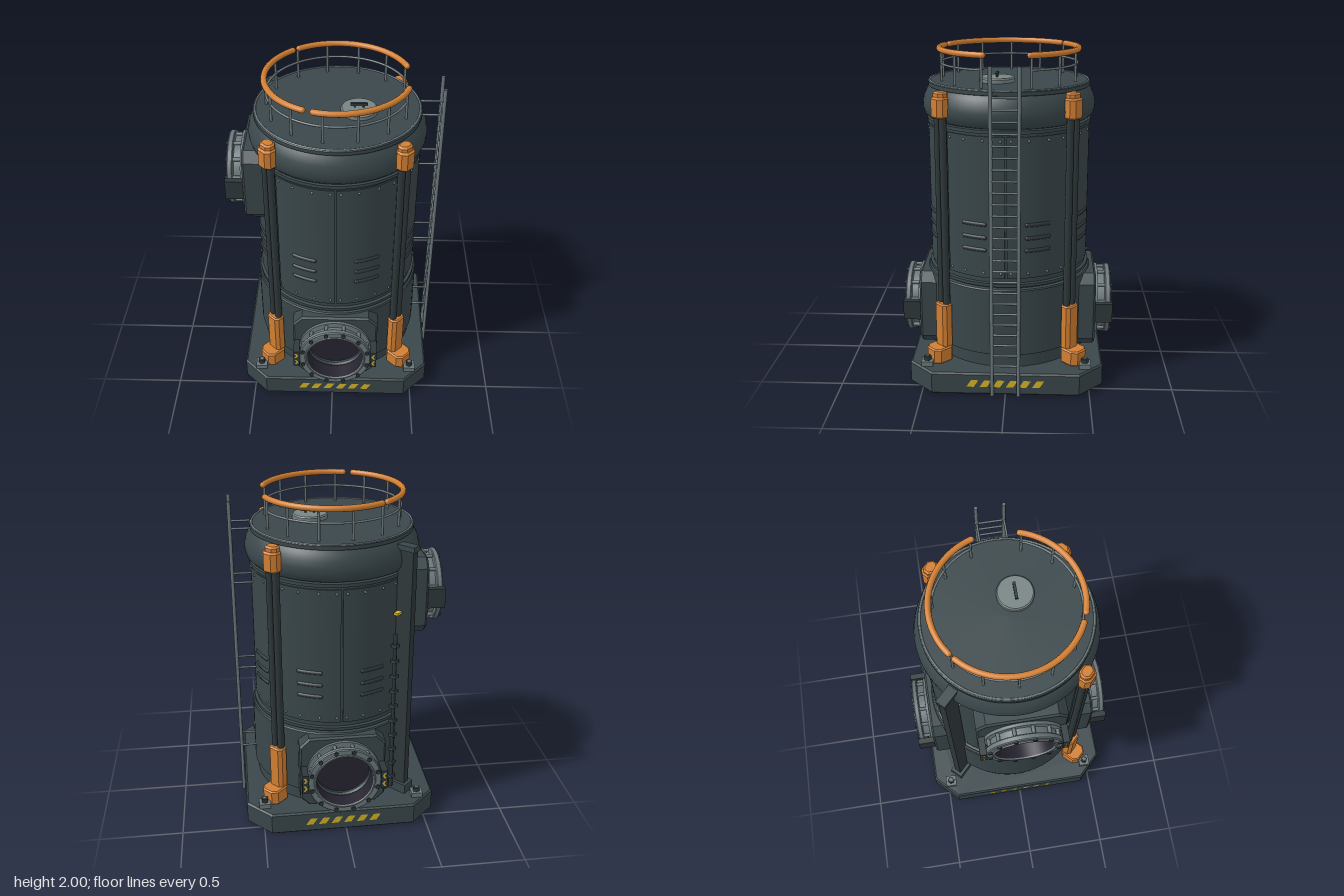
import * as THREE from 'three';
import { toCreasedNormals } from 'three/addons/utils/BufferGeometryUtils.js';

const mat = (name, color) => Object.assign(new THREE.MeshStandardMaterial({ color }), { name });
const rad = THREE.MathUtils.degToRad;
const V = (x, y) => new THREE.Vector2(x, y);

export function createModel() {
  const steel = mat('dark steel', 0x3a474b);
  const dark = mat('charcoal', 0x2f383b);
  const grey = mat('light steel', 0x6c787c);
  const pale = mat('hatch steel', 0x788484);
  const orange = mat('safety orange', 0xd27f32);
  const yellow = mat('hazard yellow', 0xd6b526);
  const bore = mat('dark bore', 0x262330);
  yellow.side = THREE.DoubleSide;

  const model = new THREE.Group();
  model.name = 'tank';
  const root = new THREE.Group();
  root.name = 'tankAssembly';
  root.position.x = 0.018;
  model.add(root);

  const add = (parent, name, geo, material, x = 0, y = 0, z = 0) => {
    const m = new THREE.Mesh(geo, material);
    m.name = name;
    m.position.set(x, y, z);
    parent.add(m);
    return m;
  };
  const group = (name, angle, y = 0) => {
    const g = new THREE.Group();
    g.name = name;
    g.rotation.y = angle;
    g.position.y = y;
    root.add(g);
    return g;
  };
  const box = (w, h, d) => new THREE.BoxGeometry(w, h, d);
  const cyl = (r, h, n = 12) => new THREE.CylinderGeometry(r, r, h, n);
  const lathe = (pts, n = 72) =>
    toCreasedNormals(new THREE.LatheGeometry(pts.map(p => V(...p)), n), 0.5);
  // Horizontal ring segment: angles run from +x towards +z
  const arc = (r, tube, from, to, sides = 8) =>
    new THREE.TorusGeometry(r, tube, sides, Math.max(8, Math.ceil((to - from) / 4)), rad(to - from))
      .rotateZ(rad(from)).rotateX(Math.PI / 2);
  const chamfered = (w, h, c) => new THREE.Shape([
    V(-w + c, -h), V(w - c, -h), V(w, -h + c), V(w, h - c),
    V(w - c, h), V(-w + c, h), V(-w, h - c), V(-w, -h + c)]);
  // Upright block with chamfered corners and bevelled top and bottom edges
  const block = (w, h, d, c, b) => new THREE.ExtrudeGeometry(
    chamfered(w / 2 - b, d / 2 - b, c),
    { depth: h - 2 * b, bevelEnabled: true, bevelThickness: b, bevelSize: b, bevelSegments: 1 })
    .rotateX(-Math.PI / 2).translate(0, b, 0);

  // Base plinth with corner anchors
  add(root, 'basePlinth', block(1.164, 0.14, 1.164, 0.138, 0.01), steel);
  for (const x of [-0.473, 0.473]) for (const z of [-0.473, 0.473]) {
    add(root, 'anchorPad', box(0.07, 0.03, 0.07), grey, x, 0.155, z);
    add(root, 'anchorNut', cyl(0.022, 0.025, 6), dark, x, 0.182, z);
    add(root, 'anchorBolt', cyl(0.012, 0.035, 8), grey, x, 0.182, z);
  }

  // Hazard stripes on all four sides of the plinth
  const stripe = new THREE.ShapeGeometry(new THREE.Shape(
    [V(-0.036, -0.022), V(0.008, -0.022), V(0.036, 0.022), V(-0.008, 0.022)]));
  for (let k = 0; k < 4; k++) {
    const side = group('hazardStripes', k * Math.PI / 2);
    for (let i = 0; i < 6; i++) add(side, 'hazardStripe', stripe, yellow, (i - 2.5) * 0.078, 0.075, 0.585);
  }

  // Tank shell, from skirt to roof
  add(root, 'tankShell', lathe([
    [0.49, 0.14], [0.49, 0.215], [0.508, 0.225], [0.508, 0.635], [0.502, 0.642], [0.48, 0.645],
    [0.48, 0.652], [0.496, 0.655], [0.496, 0.674], [0.478, 0.677], [0.478, 1.56], [0.493, 1.562],
    [0.493, 1.582], [0.472, 1.585], [0.488, 1.592], [0.506, 1.612], [0.516, 1.645], [0.517, 1.675],
    [0.507, 1.715], [0.49, 1.75], [0.474, 1.77], [0.484, 1.773], [0.484, 1.795], [0.478, 1.8],
    [0, 1.8]]), steel);
  add(root, 'roofSeam', arc(0.472, 0.006, 0, 360), grey, 0, 1.8, 0);

  // Eight curved wall panels with rivets and louvres
  const panelShape = new THREE.Shape();
  panelShape.absarc(0, 0, 0.486, rad(-21.8), rad(21.8), false);
  panelShape.absarc(0, 0, 0.47, rad(21.8), rad(-21.8), true);
  const panel = toCreasedNormals(new THREE.ExtrudeGeometry(panelShape,
    { depth: 0.84, bevelEnabled: false, curveSegments: 12 }).rotateX(-Math.PI / 2), 0.5);
  const louvre = arc(0.482, 0.013, -8, 8);
  const rivet = new THREE.SphereGeometry(0.008, 8, 6);
  const louvreEnd = new THREE.SphereGeometry(0.013, 8, 6);
  for (let k = 0; k < 8; k++) {
    const g = group('wallPanel', rad(22.5 + 45 * k));
    add(g, 'panelPlate', panel, steel, 0, 0.705, 0);
    for (const y of [0.735, 1.52]) for (const a of [-19, -7, 7, 19])
      add(g, 'rivet', rivet, grey, 0.486 * Math.cos(rad(a)), y, 0.486 * Math.sin(rad(a)));
    for (const y of [0.875, 0.95, 1.03]) {
      add(g, 'louvre', louvre, dark, 0, y, 0);
      for (const a of [-8, 8])
        add(g, 'louvreEnd', louvreEnd, dark, 0.482 * Math.cos(rad(a)), y, 0.482 * Math.sin(rad(a)));
    }
  }

  // Round flanged ports: front and back low, one side high
  const housingShape = chamfered(0.248, 0.225, 0.05);
  housingShape.holes.push(new THREE.Path().absarc(0, 0, 0.175, 0, Math.PI * 2, true));
  const housing = new THREE.ExtrudeGeometry(housingShape,
    { depth: 0.17, bevelEnabled: true, bevelThickness: 0.012, bevelSize: 0.01, bevelSegments: 1, curveSegments: 24 });
  const neck = lathe([[0.195, 0.53], [0.222, 0.535], [0.222, 0.56], [0.19, 0.562], [0.19, 0.602],
    [0.216, 0.605], [0.22, 0.61], [0.22, 0.633], [0.214, 0.639], [0.185, 0.639], [0.182, 0.646],
    [0.174, 0.646], [0.17, 0.635], [0.17, 0.515]], 48).rotateX(Math.PI / 2);
  const liner = lathe([[0.169, 0.638], [0.169, 0.515], [0, 0.515]], 48).rotateX(Math.PI / 2);
  const chevron = new THREE.ShapeGeometry(new THREE.Shape([
    V(-0.012, 0.018), V(0, 0.018), V(0.012, 0), V(0, -0.018), V(-0.012, -0.018), V(0, 0)]));
  const studRod = cyl(0.011, 0.07, 8).rotateX(Math.PI / 2);
  const studNut = cyl(0.014, 0.012, 6).rotateX(Math.PI / 2);
  const addPort = (name, angle, y) => {
    const g = group(name, angle, y);
    add(g, 'portHousing', housing, steel, 0, 0.01, 0.36);
    add(g, 'portFlange', neck, grey);
    add(g, 'portBore', liner, bore);
    for (let i = 0; i < 12; i++) {
      const a = rad(15 + i * 30), x = 0.203 * Math.cos(a), v = 0.203 * Math.sin(a);
      add(g, 'flangeStud', studRod, grey, x, v, 0.585);
      add(g, 'flangeNut', studNut, dark, x, v, 0.642);
    }
    for (const s of [-1, 1]) {
      add(g, 'portClamp', box(0.038, 0.12, 0.105), dark, s * 0.235, 0, 0.594);
      for (const v of [-0.027, 0.027])
        add(g, 'clampChevron', chevron, yellow, s * 0.235, v, 0.649).scale.x = -s;
    }
  };
  addPort('frontPort', 0, 0.39);
  addPort('backPort', Math.PI, 0.39);
  addPort('upperSidePort', -Math.PI / 2, 1.37);

  // Orange-capped support columns on three corners
  const foot = block(0.125, 0.095, 0.14, 0.025, 0.008);
  const sleeve = block(0.1, 0.28, 0.075, 0.014, 0.008);
  const cap = block(0.1, 0.12, 0.085, 0.018, 0.01);
  const capTop = block(0.085, 0.04, 0.07, 0.015, 0.01);
  for (const a of [45, -45, 135]) {
    const g = group('supportColumn', rad(a));
    add(g, 'columnFoot', foot, orange, 0, 0.14, 0.572);
    add(g, 'columnSleeve', sleeve, orange, 0, 0.225, 0.535);
    for (const s of [-1, 1]) add(g, 'columnRod', cyl(0.022, 1.2), dark, s * 0.022, 1.08, 0.53);
    add(g, 'columnCap', cap, orange, 0, 1.63, 0.53);
    add(g, 'columnCapTop', capTop, orange, 0, 1.74, 0.525);
  }

  // Cable duct and clipped conduit on the fourth corner
  const duct = group('cableDuct', rad(-135));
  add(duct, 'ductBeam', box(0.045, 1.56, 0.1), dark, 0, 0.97, 0.54);
  add(duct, 'ductTop', box(0.06, 0.03, 0.12), steel, 0, 1.74, 0.54);
  add(duct, 'ductFoot', box(0.085, 0.06, 0.12), steel, 0, 0.17, 0.55);
  add(duct, 'ductTag', box(0.05, 0.015, 0.03), yellow, -0.04, 1.35, 0.515);
  add(duct, 'conduit', cyl(0.012, 1.05, 8), dark, -0.06, 0.7, 0.515);
  for (let i = 0; i < 10; i++) add(duct, 'conduitClip', box(0.036, 0.018, 0.036), steel, -0.06, 0.25 + i * 0.1, 0.515);

  // Ladder with stand-off brackets
  const ladder = group('ladder', 0);
  for (const z of [-0.078, 0.078]) {
    add(ladder, 'ladderRail', cyl(0.011, 1.945, 8), grey, 0.597, 0.9775, z);
    for (const y of [0.34, 0.9, 1.46, 1.79])
      add(ladder, 'ladderBracket', cyl(0.007, 0.13, 8).rotateZ(Math.PI / 2), grey, 0.535, y, z);
  }
  for (let i = 0; i < 25; i++)
    add(ladder, 'ladderRung', cyl(0.007, 0.156, 8).rotateX(Math.PI / 2), grey, 0.597, 0.2 + i * 0.066, 0);

  // Roof guard rail in three arcs, open at the ladder
  const rail = group('guardRail', 0);
  for (const [from, to] of [[18.5, 107], [115.5, 229], [235, 341.5]]) {
    add(rail, 'handRail', arc(0.413, 0.0175, from, to, 10), orange, 0, 1.9825, 0);
    for (const a of [from, to])
      add(rail, 'handRailEnd', new THREE.SphereGeometry(0.0175, 10, 8), orange,
        0.413 * Math.cos(rad(a)), 1.9825, 0.413 * Math.sin(rad(a)));
  }
  add(rail, 'midRail', arc(0.405, 0.007, 20, 340), grey, 0, 1.9, 0);
  for (let i = 0; i < 13; i++) {
    const a = rad(20 + i * 320 / 12);
    add(rail, 'railPost', cyl(0.008, 0.18, 8), grey, 0.408 * Math.cos(a), 1.89, 0.408 * Math.sin(a));
  }

  // Roof hatch with handle
  const hatch = group('roofHatch', 0);
  add(hatch, 'hatchLid', lathe([[0.105, 1.8], [0.105, 1.82], [0.098, 1.828], [0, 1.828]], 40), pale, 0.122, 0, 0.065);
  add(hatch, 'hatchHandle', box(0.1, 0.012, 0.016), dark, 0.122, 1.847, 0.065);
  for (const s of [-1, 1]) add(hatch, 'handleLeg', box(0.01, 0.025, 0.012), dark, 0.122 + s * 0.025, 1.834, 0.065);

  return model;
}
